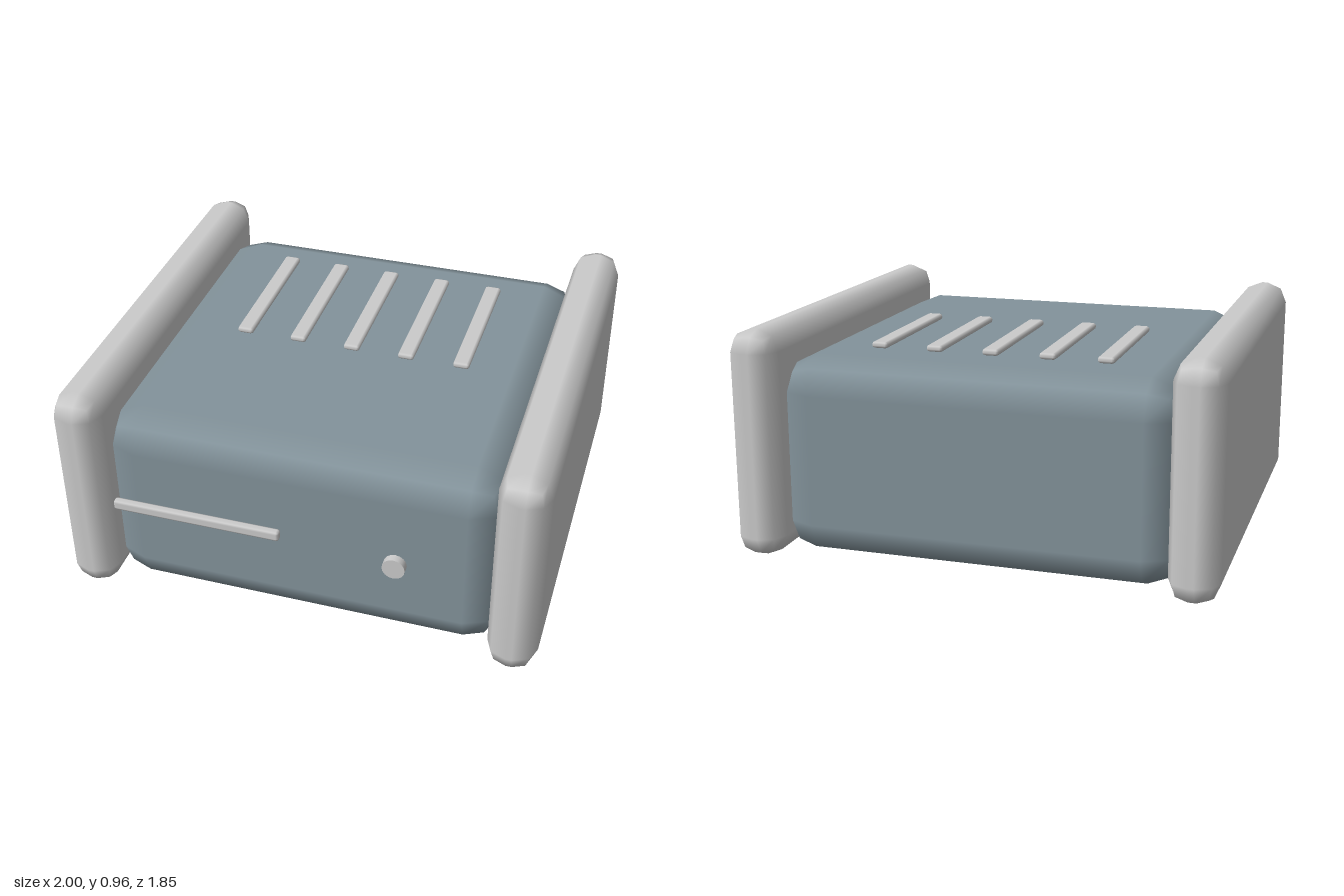
import * as THREE from 'three';
import { RoundedBoxGeometry } from 'three/addons/geometries/RoundedBoxGeometry.js';

const grey = new THREE.MeshStandardMaterial({ color: 0xcccccc });
const blueGrey = new THREE.MeshStandardMaterial({ color: 0x83939b });

export function createModel() {
  const model = new THREE.Group();

  const add = (name, geometry, material, x, y, z) => {
    const mesh = new THREE.Mesh(geometry, material);
    mesh.name = name;
    mesh.position.set(x, y, z);
    model.add(mesh);
    return mesh;
  };
  // Box with one soft step on every edge
  const softBox = (w, h, d, r) => new RoundedBoxGeometry(w, h, d, 1, r);

  // Main casing, its ends sunk into the side panels
  add('casing', softBox(1.664, 0.836, 1.664, 0.146), blueGrey, 0, 0.418, 0);

  // Side panels
  for (const [name, side] of [['leftPanel', 1], ['rightPanel', -1]]) {
    add(name, softBox(0.205, 0.952, 1.846, 0.09), grey, side * 0.8975, 0.48, 0);
  }

  // Row of vent bars hovering over the top
  for (let i = -2; i <= 2; i++) {
    add(`ventBar${i + 3}`, softBox(0.07, 0.027, 0.65, 0.012), grey, i * 0.238, 0.857, -0.243);
  }

  // Front slot and round button
  add('frontSlot', softBox(0.714, 0.046, 0.035, 0.012), grey, -0.42, 0.445, 0.858);
  const button = add('button', new THREE.CylinderGeometry(0.047, 0.047, 0.033, 16), grey, 0.415, 0.42, 0.877);
  button.rotation.x = Math.PI / 2;

  return model;
}
